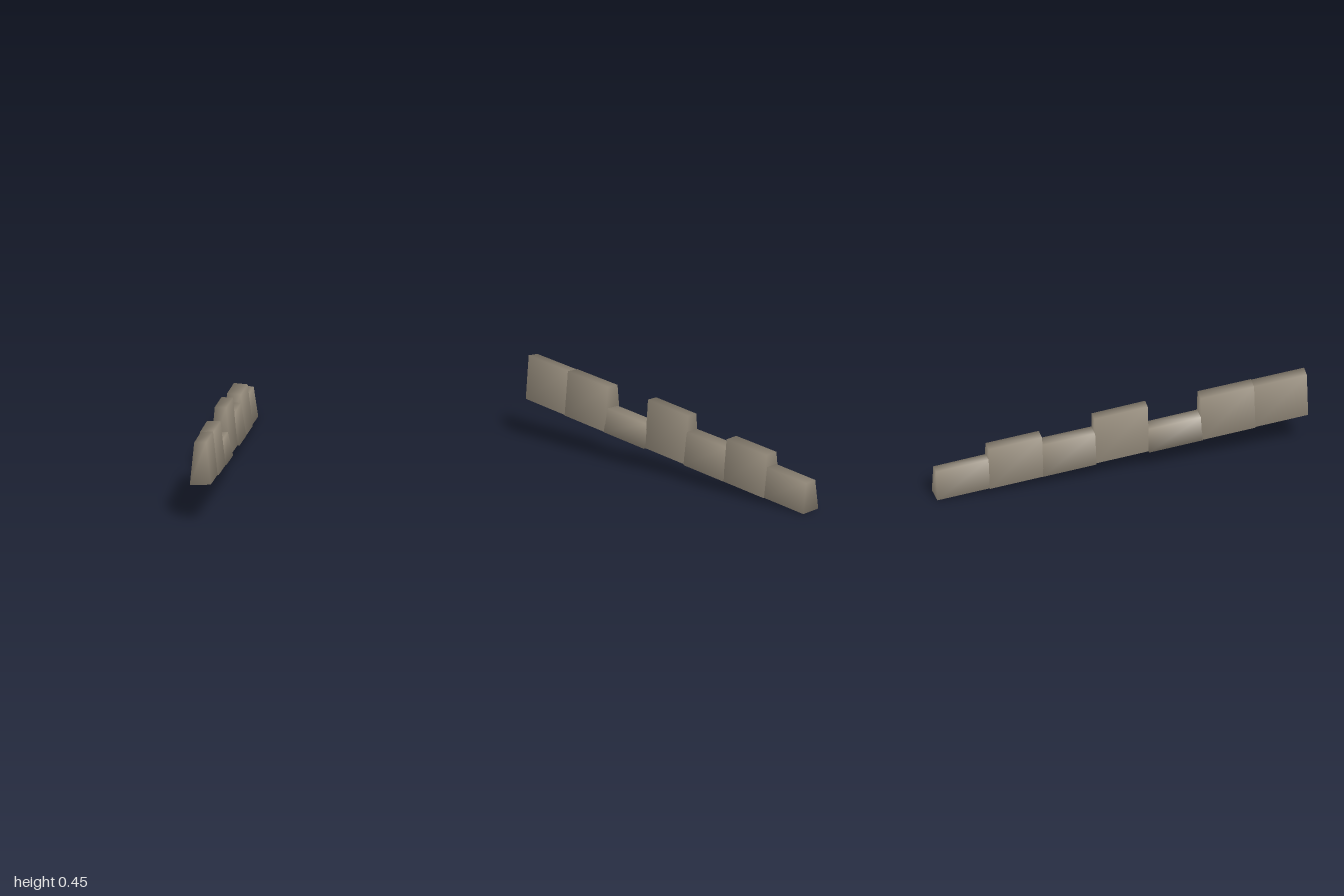
import * as THREE from 'three';
import { mergeVertices } from 'three/addons/utils/BufferGeometryUtils.js';

// One stone, front to back: [bottom width, front top height, back top height]
const STONES = [
  [0.110, 0.447, 0.420],
  [0.123, 0.421, 0.394],
  [0.132, 0.280, 0.251],
  [0.105, 0.385, 0.355],
  [0.128, 0.270, 0.244],
  [0.125, 0.290, 0.262],
  [0.113, 0.197, 0.167],
];
const TOP_RATIO = 0.58;

// The row drifts sideways and slopes down towards the back
const centreX = (z) => -0.003 - 0.036 * z;
const baseY = (z) => 0.111 + 0.105 * z;

// Tapered block with corners shared between faces, for soft shading
function stoneGeometry(zFront, zBack, width, topFront, topBack) {
  let geo = new THREE.BoxGeometry(1, 1, 1);
  geo.deleteAttribute('uv');
  geo.deleteAttribute('normal');
  geo = mergeVertices(geo);
  const p = geo.attributes.position;
  for (let i = 0; i < p.count; i++) {
    const front = p.getZ(i) > 0;
    const top = p.getY(i) > 0;
    const side = Math.sign(p.getX(i));
    const z = front ? zFront : zBack;
    const half = (width / 2) * (top ? TOP_RATIO : 1);
    const roll = side * 0.003 * z; // slight twist along the row
    const y = top ? (front ? topFront : topBack) : Math.max(baseY(z), 0.003);
    p.setXYZ(i, centreX(z) + side * half, y + roll, z + side * 0.002);
  }
  geo.computeVertexNormals();
  return geo;
}

export function createModel() {
  const group = new THREE.Group();
  group.name = 'stoneRow';
  const stone = new THREE.MeshStandardMaterial({ color: 0x9a9080 });
  stone.name = 'stone';

  const step = 1.996 / STONES.length;
  STONES.forEach(([width, topFront, topBack], i) => {
    const zFront = 0.997 - i * step;
    // Each block reaches slightly into its neighbour
    const zBack = i < STONES.length - 1 ? zFront - step - 0.002 : -0.998;
    const mesh = new THREE.Mesh(stoneGeometry(zFront, zBack, width, topFront, topBack), stone);
    mesh.name = `stoneBlock${i + 1}`;
    group.add(mesh);
  });
  return group;
}
